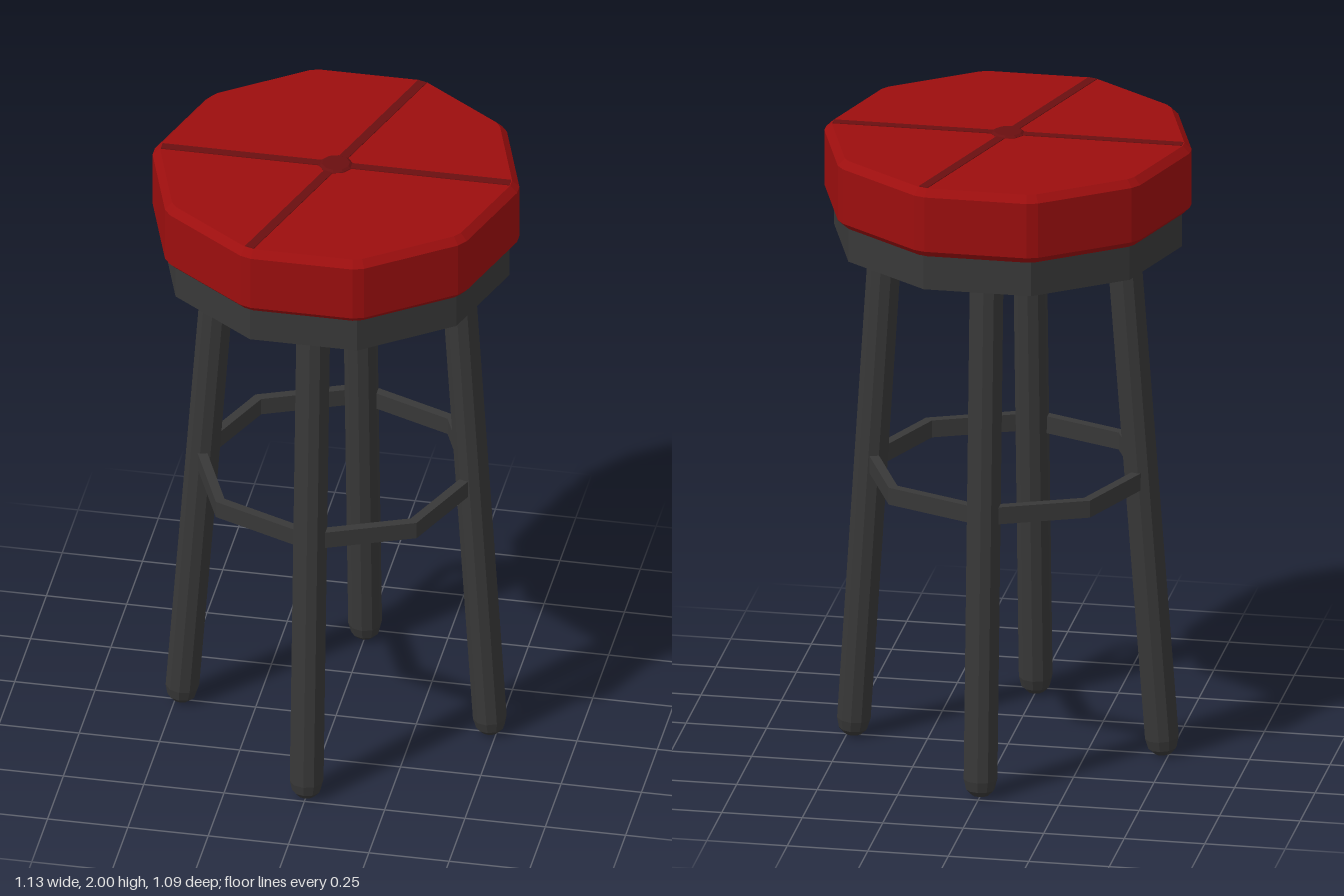
import * as THREE from 'three';

const material = (color) => new THREE.MeshStandardMaterial({ color, flatShading: true });

// Regular decagon with its corners slightly clipped
function clippedDecagon(radius, clip) {
  const corner = (i) => new THREE.Vector2(
    radius * Math.cos(i * Math.PI / 5), radius * Math.sin(i * Math.PI / 5));
  const points = [];
  for (let i = 0; i < 10; i++) {
    points.push(corner(i).lerp(corner(i - 1), clip), corner(i).lerp(corner(i + 1), clip));
  }
  return new THREE.Shape(points);
}

// Flat outline extruded upwards from y
function extrudeUp(shape, y, depth, bevel = 0) {
  const geometry = new THREE.ExtrudeGeometry(shape, {
    depth: depth - 2 * bevel, bevelEnabled: bevel > 0,
    bevelThickness: bevel, bevelSize: bevel, bevelSegments: 1,
  });
  return geometry.rotateX(-Math.PI / 2).translate(0, y + bevel, 0);
}

function polygonPoints(sides, radius) {
  return Array.from({ length: sides }, (_, i) => new THREE.Vector2(
    radius * Math.cos(i * 2 * Math.PI / sides), radius * Math.sin(i * 2 * Math.PI / sides)));
}

export function createModel() {
  const stool = new THREE.Group();
  stool.name = 'stool';
  const red = material(0x9c0e0e);
  const darkRed = material(0x6a0f10);
  const dark = material(0x383838);

  const add = (name, geometry, mat) => {
    const mesh = new THREE.Mesh(geometry, mat);
    mesh.name = name;
    stool.add(mesh);
    return mesh;
  };

  // Cushion and the frame under it
  add('cushion', extrudeUp(clippedDecagon(0.55, 0.045), 1.772, 0.221, 0.022), red);
  add('seatFrame', extrudeUp(new THREE.Shape(polygonPoints(10, 0.54)), 1.66, 0.125), dark);

  // Two seams crossing at the button
  for (const angle of [0, 2 * Math.PI / 5]) {
    const seam = add('seam', new THREE.BoxGeometry(1.085, 0.008, 0.03), darkRed);
    seam.position.y = 1.991;
    seam.rotation.y = angle;
  }

  // Button with a small chamfer
  const button = [[0, 1.98], [0.052, 1.98], [0.052, 1.994], [0.043, 2], [0, 2]];
  add('button', new THREE.LatheGeometry(button.map(([x, y]) => new THREE.Vector2(x, y)), 10), darkRed);

  // Splayed legs with rounded feet
  const legProfile = [[0, 0], [0.026, 0.004], [0.044, 0.022], [0.052, 0.055], [0.052, 1.69], [0, 1.69]]
    .map(([x, y]) => new THREE.Vector2(x, y));
  const up = new THREE.Vector3(0, 1, 0);
  const legs = [
    ['leftLeg', [0.482, 0], [0.378, 0]],
    ['rightLeg', [-0.482, 0], [-0.358, 0]],
    ['frontLeg', [0, 0.467], [0, 0.357]],
    ['backLeg', [0, -0.463], [0, -0.357]],
  ];
  for (const [name, foot, top] of legs) {
    const leg = add(name, new THREE.LatheGeometry(legProfile, 10), dark);
    const direction = new THREE.Vector3(top[0] - foot[0], 1.66, top[1] - foot[1]).normalize();
    leg.position.set(foot[0], 0.002, foot[1]);
    leg.quaternion.setFromUnitVectors(up, direction);
  }

  // Octagonal foot ring
  const ring = new THREE.Shape(polygonPoints(8, 0.442));
  ring.holes.push(new THREE.Path(polygonPoints(8, 0.41).reverse()));
  add('footRing', extrudeUp(ring, 0.875, 0.055), dark);

  return stool;
}
